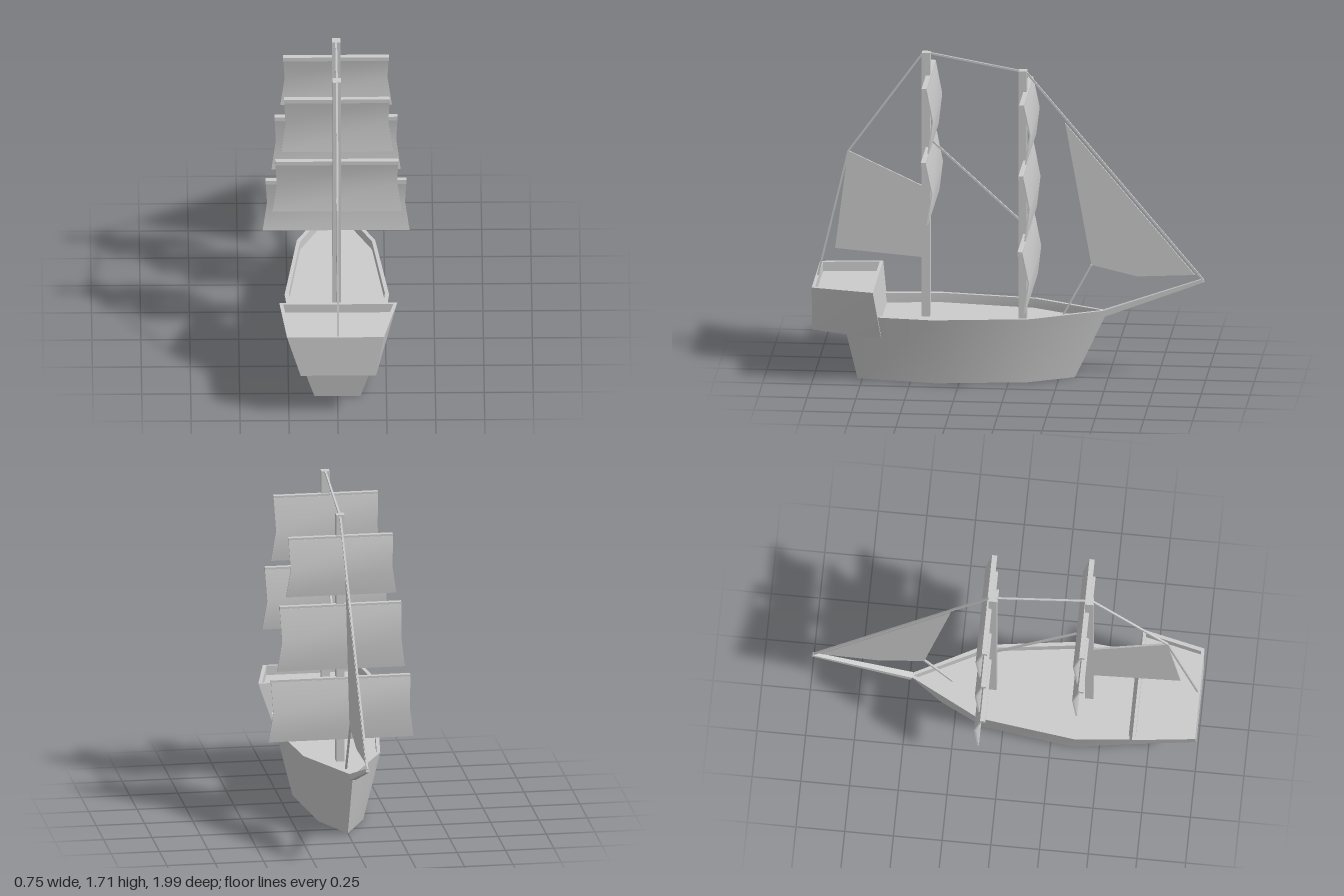
import * as THREE from 'three';
import { toCreasedNormals } from 'three/addons/utils/BufferGeometryUtils.js';

const grey = new THREE.MeshStandardMaterial({ color: 0xcccccc });

function add(parent, name, geometry) {
  const mesh = new THREE.Mesh(geometry, grey);
  mesh.name = name;
  parent.add(mesh);
  return mesh;
}

// Closed skin through rings of [x, y, z] points, capped at both ends
function loft(rings) {
  const pos = [];
  const tri = (a, b, c) => pos.push(...a, ...b, ...c);
  const n = rings[0].length;
  for (let r = 0; r < rings.length - 1; r++) {
    for (let i = 0; i < n; i++) {
      const j = (i + 1) % n, lo = rings[r], hi = rings[r + 1];
      tri(lo[i], lo[j], hi[j]);
      tri(lo[i], hi[j], hi[i]);
    }
  }
  const first = rings[0], last = rings[rings.length - 1];
  for (let i = 1; i < n - 1; i++) {
    tri(first[0], first[i + 1], first[i]);
    tri(last[0], last[i], last[i + 1]);
  }
  const g = new THREE.BufferGeometry();
  g.setAttribute('position', new THREE.Float32BufferAttribute(pos, 3));
  return toCreasedNormals(g, 0.6);
}

// Tub with a rim and a sunken deck
function tub(bottom, top, sx, sz, zMid, depth) {
  const inner = (drop) => top.map(([x, y, z]) => [x * sx, y - drop, zMid + (z - zMid) * sz]);
  return loft([bottom, top, inner(0), inner(depth)]);
}

// Symmetric outline: stern, two side stations, bow point
function outline(half, bowZ, y) {
  const side = half.map(([x, z]) => [x, y, z]);
  const other = side.map(([x, , z]) => [-x, y, z]).reverse();
  return [...side, [0, y, bowZ], ...other];
}

// Four-sided tapered spar or rope between two [y, z] points on the centre line
function spar(parent, name, a, b, r0, r1 = r0) {
  const start = new THREE.Vector3(0, ...a), end = new THREE.Vector3(0, ...b);
  const dir = end.clone().sub(start);
  const g = new THREE.CylinderGeometry(r1 * Math.SQRT2, r0 * Math.SQRT2, dir.length(), 4);
  g.rotateY(Math.PI / 4);
  const mesh = add(parent, name, toCreasedNormals(g, 0.5));
  mesh.position.copy(start).add(end).multiplyScalar(0.5);
  mesh.quaternion.setFromUnitVectors(new THREE.Vector3(0, 1, 0), dir.normalize());
}

// Flat fore-and-aft sail from [z, y] corners
function flatSail(parent, name, corners) {
  const shape = new THREE.Shape(corners.map(([z, y]) => new THREE.Vector2(-z, y)));
  const g = new THREE.ExtrudeGeometry(shape, { depth: 0.01, bevelEnabled: false });
  g.translate(0, 0, -0.005);
  g.rotateY(Math.PI / 2);
  add(parent, name, g);
}

// Yard with a bellied square sail hanging from it
function squareSail(parent, half, yTop, yBottom, z) {
  const group = new THREE.Group();
  group.name = 'squareSail';
  parent.add(group);
  add(group, 'yard', new THREE.BoxGeometry(half * 2, 0.022, 0.026)).position.set(0, yTop, z);
  const h = yTop - yBottom;
  const g = new THREE.BoxGeometry(2, h, 0.008, 1, 2, 1);
  const p = g.attributes.position;
  for (let i = 0; i < p.count; i++) {
    const t = 0.5 - p.getY(i) / h;
    const belly = 1 - Math.abs(2 * t - 1);
    p.setX(i, p.getX(i) * (half + 0.015 * t - 0.015 * belly));
    p.setZ(i, p.getZ(i) - 0.012 * t - 0.026 * belly);
  }
  g.computeVertexNormals();
  add(group, 'sail', g).position.set(0, yTop - h / 2, z - 0.01);
}

export function createModel() {
  const ship = new THREE.Group();
  ship.name = 'sailingShip';

  // Hull
  add(ship, 'hull', tub(
    outline([[0.118, 0.775], [0.178, 0.37], [0.115, -0.1]], -0.33, 0),
    outline([[0.222, 0.845], [0.267, 0.38], [0.2, -0.12]], -0.5, 0.36),
    0.92, 0.95, 0.17, 0.05));

  // Raised stern cabin
  add(ship, 'sternCastle', tub(
    [[0.195, 0.275, 1], [0.215, 0.24, 0.645], [-0.225, 0.24, 0.645], [-0.19, 0.275, 1]],
    [[0.235, 0.51, 1], [0.307, 0.51, 0.68], [-0.297, 0.51, 0.68], [-0.26, 0.51, 1]],
    0.93, 0.9, 0.84, 0.05));

  // Masts and bowsprit
  for (const [name, top, z] of [['mainMast', 1.71, 0.433], ['foreMast', 1.625, -0.063]]) {
    add(ship, name, new THREE.BoxGeometry(0.043, top - 0.3, 0.043)).position.set(0, (top + 0.3) / 2, z);
  }
  spar(ship, 'bowsprit', [0.345, -0.48], [0.532, -0.99], 0.016, 0.009);

  // Square sails: half width, top, bottom, z
  const sails = [
    [0.27, 1.58, 1.25, 0.42], [0.315, 1.2, 0.885, 0.42],
    [0.27, 1.505, 1.205, -0.08], [0.315, 1.14, 0.81, -0.08], [0.36, 0.75, 0.435, -0.08],
  ];
  for (const s of sails) squareSail(ship, ...s);

  // Fore-and-aft sails
  flatSail(ship, 'spanker', [[0.834, 1.177], [0.9, 0.657], [0.455, 0.62], [0.455, 1.0]]);
  flatSail(ship, 'jib', [[-0.28, 1.35], [-0.415, 0.6], [-0.65, 0.545], [-0.945, 0.56]]);

  // Rigging as [y, z] pairs
  const ropes = [
    [[1.615, -0.08], [0.537, -0.985]], [[0.6, -0.415], [0.33, -0.27]],
    [[1.705, 0.42], [1.62, -0.05]], [[1.705, 0.45], [1.175, 0.832]],
    [[1.175, 0.832], [0.49, 0.993]], [[1.25, 0.415], [0.83, -0.045]],
  ];
  for (const [a, b] of ropes) spar(ship, 'rope', a, b, 0.005);

  return ship;
}
